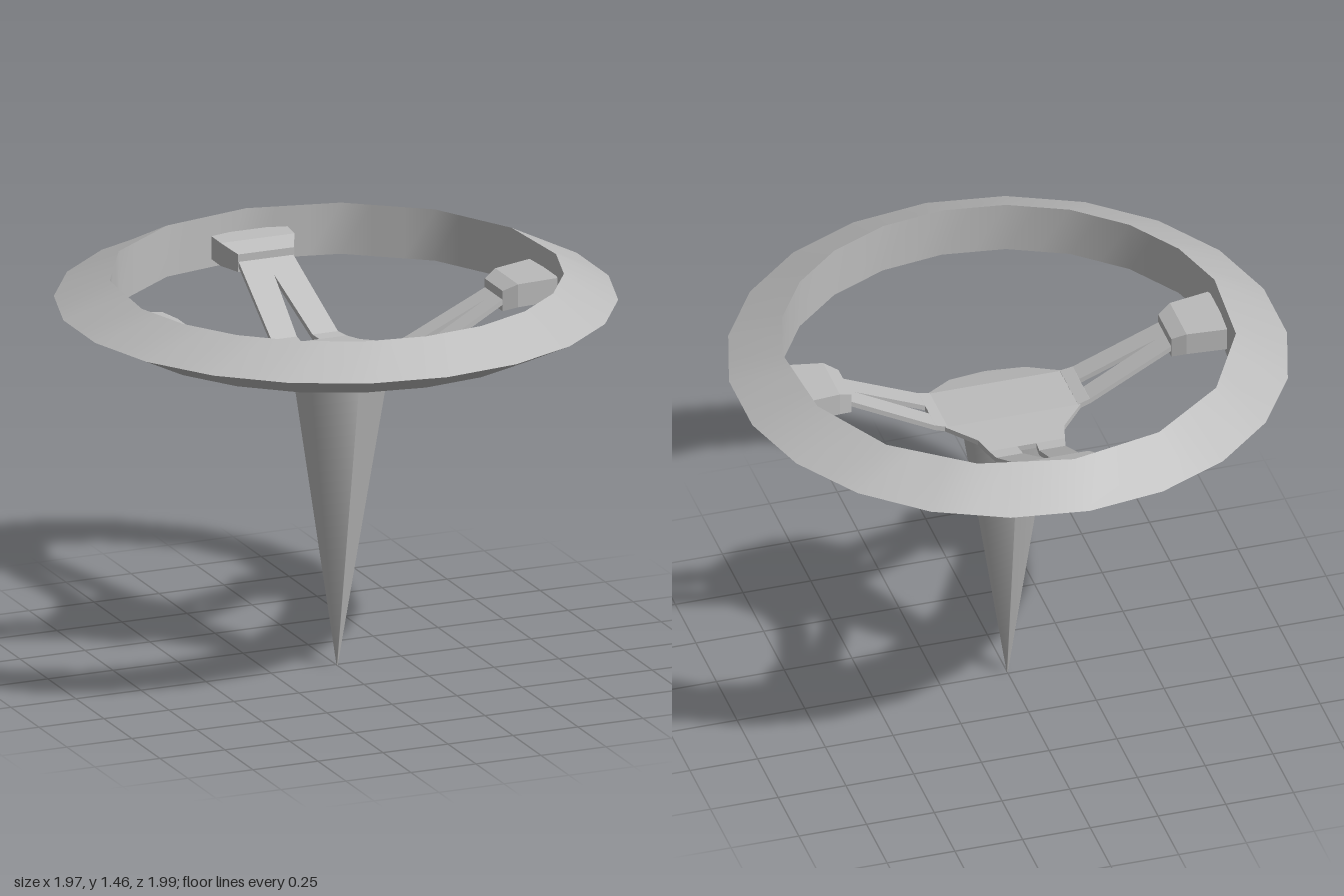
import * as THREE from 'three';

const metal = new THREE.MeshStandardMaterial({ color: 0xbcbcbc });
metal.name = 'plain grey';

function addMesh(parent, name, geometry) {
  const mesh = new THREE.Mesh(geometry, metal);
  mesh.name = name;
  parent.add(mesh);
  return mesh;
}

function makeGeometry(positions, index) {
  const g = new THREE.BufferGeometry();
  g.setAttribute('position', new THREE.Float32BufferAttribute(positions, 3));
  g.setIndex(index);
  return g;
}

// Box-section loft along +x; each station is [x, z0, z1, yBottom, yTop]
function loft(stations) {
  const pos = [], idx = [];
  for (const [x, z0, z1, yb, yt] of stations) {
    pos.push(x, yb, z0, x, yb, z1, x, yt, z1, x, yt, z0);
  }
  const last = (stations.length - 1) * 4;
  for (let s = 0; s < last; s += 4) {
    for (let k = 0; k < 4; k++) {
      const a = s + k, b = s + (k + 1) % 4;
      idx.push(a, a + 4, b + 4, a, b + 4, b);
    }
  }
  idx.push(0, 1, 2, 0, 2, 3, last, last + 2, last + 1, last, last + 3, last + 2);
  const g = makeGeometry(pos, idx).toNonIndexed();
  g.computeVertexNormals();
  return g;
}

// Rim corner j of 44 half steps; coarse sides are wider on the back of the inner wall
function rimPoint(j, radius, y, inner) {
  const m = j <= 22 ? j : 44 - j;
  const side = j <= 22 ? 1 : -1;
  const step = inner && m < 12 ? 3 : 2;
  const lo = Math.floor(m / step) * step, t = (m - lo) / step;
  const at = (k) => [Math.sin(k * Math.PI / 22), -Math.cos(k * Math.PI / 22)];
  const [x0, z0] = at(lo), [x1, z1] = at(lo + step);
  return [side * radius * (x0 + (x1 - x0) * t), y, radius * (z0 + (z1 - z0) * t)];
}

// Triangular-section rim, smooth around and sharp across its three edges
function makeRim() {
  const rim = new THREE.Group();
  rim.name = 'rim';
  const profile = [[0.805, 1.455, true], [0.997, 1.36, false], [0.805, 1.265, true]];
  const names = ['rimTop', 'rimUnderside', 'rimInnerWall'];
  names.forEach((name, i) => {
    const pos = [], idx = [];
    for (let j = 0; j < 44; j++) {
      pos.push(...rimPoint(j, ...profile[i]), ...rimPoint(j, ...profile[(i + 1) % 3]));
      const a = j * 2, b = ((j + 1) % 44) * 2;
      idx.push(a, b, b + 1, a, b + 1, a + 1);
    }
    const g = makeGeometry(pos, idx);
    g.computeVertexNormals();
    addMesh(rim, name, g);
  });
  return rim;
}

// Two rails around a tapering slot, a joined end and a thick pad at the rim
function makeSpoke(name, angle, rails, pad) {
  const spoke = new THREE.Group();
  spoke.name = name;
  // rails: [x, outer z0, slot z0, slot z1, outer z1, top y]
  const t = 0.02;
  addMesh(spoke, 'railA', loft(rails.map(([x, a, b, , , y]) => [x, a, b, y - t, y])));
  addMesh(spoke, 'railB', loft(rails.map(([x, , , c, d, y]) => [x, c, d, y - t, y])));
  addMesh(spoke, 'rimPad', loft(pad));
  spoke.rotation.y = angle;
  return spoke;
}

export function createModel() {
  const model = new THREE.Group();
  model.name = 'steeringWheel';
  model.add(makeRim());

  // Hub plate, lofted from front to back
  const hub = addMesh(model, 'hub', loft([
    [-0.28, -0.01, 0.01, 1.1, 1.113],
    [-0.255, -0.14, 0.14, 1.105, 1.12],
    [-0.16, -0.25, 0.25, 1.128, 1.145],
    [0.06, -0.25, 0.25, 1.13, 1.147],
    [0.16, -0.16, 0.16, 1.12, 1.14],
    [0.23, -0.14, 0.14, 1.115, 1.135],
  ]));
  hub.rotation.y = Math.PI / 2;

  // Back spoke
  model.add(makeSpoke('backSpoke', Math.PI / 2, [
    [0.23, -0.14, -0.035, 0.035, 0.14, 1.135],
    [0.28, -0.128, -0.03, 0.03, 0.128, 1.138],
    [0.55, -0.11, 0, 0, 0.11, 1.282],
    [0.63, -0.105, 0, 0, 0.105, 1.325],
  ], [
    [0.625, -0.107, 0.107, 1.285, 1.35],
    [0.7, -0.142, 0.142, 1.29, 1.375],
    [0.79, -0.147, 0.147, 1.295, 1.38],
  ]));

  // Side spokes, mirrored left and right
  const sideRails = [
    [0.24, -0.06, 0.022, 0.022, 0.16, 1.147],
    [0.285, -0.057, 0.022, 0.072, 0.153, 1.16],
    [0.555, -0.042, 0.04, 0.04, 0.12, 1.295],
    [0.6, -0.04, 0.04, 0.04, 0.115, 1.318],
  ];
  // Solid root between hub and slot
  sideRails[0][2] = sideRails[0][3] = 0.047;
  sideRails.splice(1, 0, [0.284, -0.057, 0.047, 0.047, 0.153, 1.16]);
  const sidePad = [
    [0.59, -0.042, 0.117, 1.27, 1.345],
    [0.64, -0.064, 0.14, 1.285, 1.37],
    [0.79, -0.09, 0.155, 1.295, 1.38],
  ];
  const flipRail = ([x, a, b, c, d, y]) => [x, -d, -c, -b, -a, y];
  const flipPad = ([x, a, b, y0, y1]) => [x, -b, -a, y0, y1];
  model.add(makeSpoke('leftSpoke', 0, sideRails, sidePad));
  model.add(makeSpoke('rightSpoke', Math.PI, sideRails.map(flipRail), sidePad.map(flipPad)));

  // Six-sided tapered column, leaning slightly forward at the top
  const cone = new THREE.CylinderGeometry(0.171, 0.002, 1.1, 6, 1);
  cone.translate(0, 0.55, 0);
  const p = cone.attributes.position;
  for (let i = 0; i < p.count; i++) {
    p.setZ(i, p.getZ(i) + 0.01 + 0.027 * p.getY(i) / 1.1);
  }
  addMesh(model, 'column', cone);

  return model;
}
